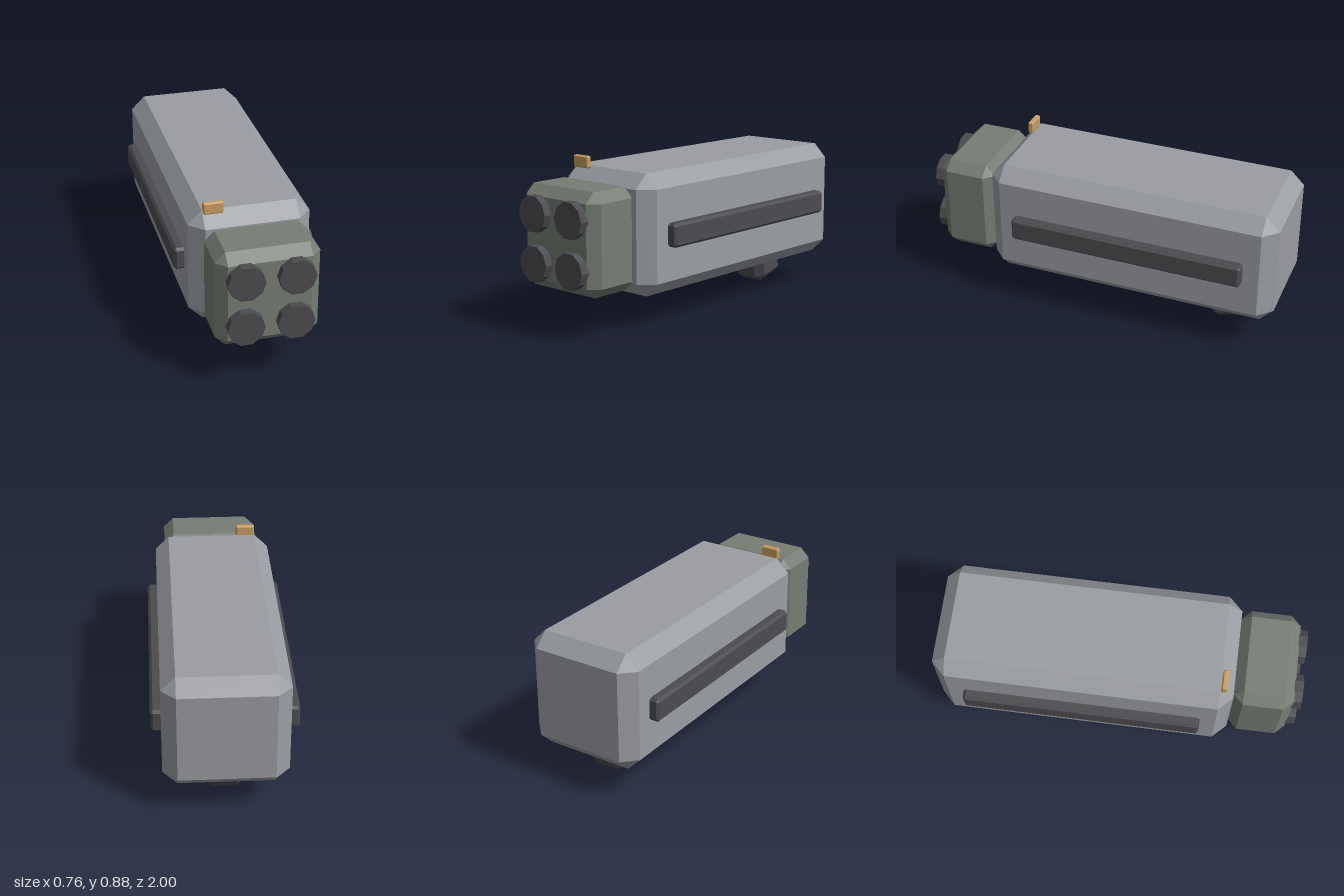
import * as THREE from 'three';
import { ConvexGeometry } from 'three/addons/geometries/ConvexGeometry.js';

const material = (name, color) => {
  const m = new THREE.MeshStandardMaterial({ color });
  m.name = name;
  return m;
};

// Box with flat chamfers on every edge and triangular corners
function chamferBox(w, h, d, c) {
  const points = [];
  const half = [w / 2, h / 2, d / 2];
  for (const sx of [-1, 1]) for (const sy of [-1, 1]) for (const sz of [-1, 1]) {
    const s = [sx, sy, sz];
    for (let axis = 0; axis < 3; axis++) {
      points.push(new THREE.Vector3(...half.map((v, i) => s[i] * (i === axis ? v : v - c))));
    }
  }
  return new ConvexGeometry(points);
}

export function createModel() {
  const group = new THREE.Group();
  const grey = material('grey', 0x9a9da2);
  const green = material('greyGreen', 0x757d74);
  const dark = material('darkGrey', 0x4c4b4f);
  const gold = material('gold', 0xc89f62);

  const add = (name, geometry, mat, x, y, z) => {
    const mesh = new THREE.Mesh(geometry, mat);
    mesh.name = name;
    mesh.position.set(x, y, z);
    group.add(mesh);
    return mesh;
  };

  // Long housing and the front block
  add('housing', chamferBox(0.654, 0.652, 1.63, 0.076), grey, 0, 0.499, -0.185);
  add('frontBlock', chamferBox(0.544, 0.544, 0.326, 0.054), green, 0, 0.499, 0.793);

  // Four ten-sided tubes in the front block
  const tube = new THREE.CylinderGeometry(0.098, 0.098, 0.12, 10, 1, false, Math.PI / 2);
  tube.rotateX(Math.PI / 2);
  const tubeGeometry = tube.toNonIndexed();
  tubeGeometry.computeVertexNormals();
  for (const sx of [-1, 1]) for (const sy of [-1, 1]) {
    add('tube', tubeGeometry, dark, sx * 0.131, 0.498 + sy * 0.131, 0.94);
  }

  // Side rails
  for (const s of [-1, 1]) {
    add(s > 0 ? 'leftRail' : 'rightRail', chamferBox(0.108, 0.128, 1.305, 0.014), dark, s * 0.327, 0.499, -0.183);
  }

  // Tilted grip under the rear
  const tilt = THREE.MathUtils.degToRad(15);
  const length = 0.3;
  const grip = add('grip', chamferBox(0.218, length, 0.218, 0.043), dark,
    0, 0.017 + Math.cos(tilt) * length / 2, -0.716 + Math.sin(tilt) * length / 2);
  grip.rotation.x = tilt;

  // Small sight on the top edge
  add('sight', chamferBox(0.107, 0.065, 0.031, 0.006), gold, -0.197, 0.845, 0.574);

  return group;
}
